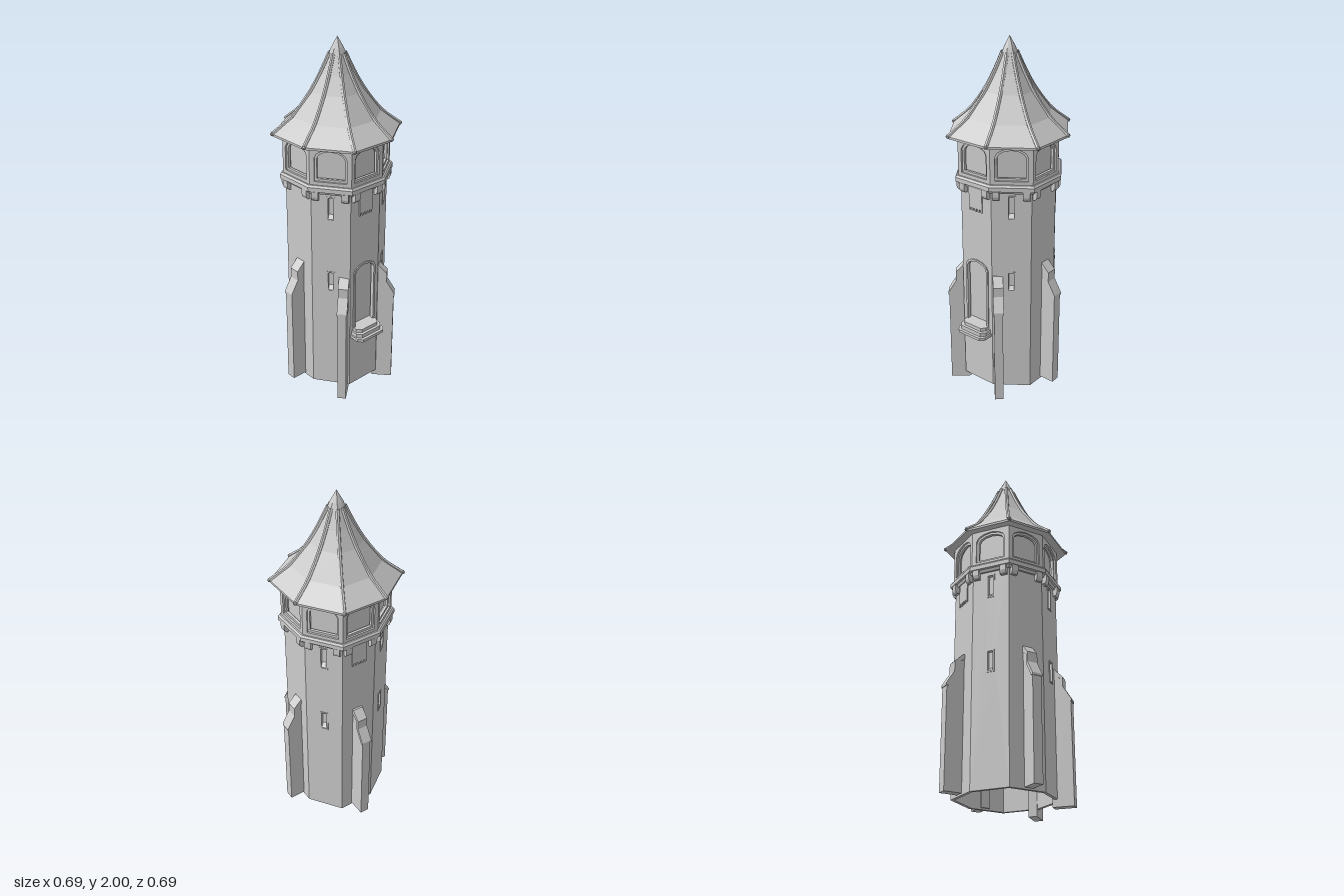
import * as THREE from 'three';

const mat = new THREE.MeshStandardMaterial({ color: 0xcccccc, flatShading: true, side: THREE.DoubleSide });
const APOTHEM = 0.31;

// Slightly twisted octagon: two front corners turned around in quarter steps
const corners = [];
for (let k = 0, p = [[-0.159, 0.31], [0.097, 0.31]]; k < 4; k++, p = p.map(([x, z]) => [z, -x])) corners.push(...p);
const corner = (i, r) => corners[i % 8].map(v => v * r / APOTHEM);

function add(parent, name, geometry, x = 0, y = 0, z = 0) {
  const mesh = new THREE.Mesh(geometry, mat);
  mesh.name = name;
  mesh.position.set(x, y, z);
  parent.add(mesh);
  return mesh;
}

// Skin through octagon rings given as [apothem, height]
function loft(profile) {
  const pos = [];
  for (let j = 0; j + 1 < profile.length; j++) {
    const [r0, y0] = profile[j], [r1, y1] = profile[j + 1];
    for (let i = 0; i < 8; i++) {
      const at = (k, r, y) => { const [x, z] = corner(k, r); return [x, y, z]; };
      const a = at(i, r0, y0), b = at(i + 1, r0, y0), c = at(i + 1, r1, y1), d = at(i, r1, y1);
      if (r0 > 0) pos.push(...a, ...b, ...c);
      if (r1 > 0) pos.push(...a, ...c, ...d);
    }
  }
  const g = new THREE.BufferGeometry();
  g.setAttribute('position', new THREE.Float32BufferAttribute(pos, 3));
  g.computeVertexNormals();
  return g;
}

// Group lying on face i of the octagon, with local +z pointing outward
function faceGroup(parent, i, r, name) {
  const [ax, az] = corner(i, r), [bx, bz] = corner(i + 1, r);
  const g = new THREE.Group();
  g.name = name;
  g.position.set((ax + bx) / 2, 0, (az + bz) / 2);
  g.rotation.y = Math.atan2(az - bz, bx - ax);
  g.userData.width = Math.hypot(bx - ax, bz - az);
  parent.add(g);
  return g;
}

const polygon = pts => new THREE.Shape(pts.map(p => new THREE.Vector2(...p)));
const rect = (w, y0, y1) => polygon([[-w / 2, y0], [w / 2, y0], [w / 2, y1], [-w / 2, y1]]);
function arch(w, y0, spring, top) {
  const h = w / 2, d = top - spring;
  return polygon([[-h, y0], [h, y0], [h, spring], [h * 0.85, spring + d * 0.5], [h * 0.5, spring + d * 0.85], [0, top],
    [-h * 0.5, spring + d * 0.85], [-h * 0.85, spring + d * 0.5], [-h, spring]]);
}
// Plate with holes, its outer side at z = front
function plate(shape, holes, depth, front = 0) {
  shape.holes.push(...holes);
  const g = new THREE.ExtrudeGeometry(shape, { depth, bevelEnabled: false });
  return g.translate(0, 0, front - depth);
}
// Side profile (outward, height) swept across a width
const swept = (pts, width) => new THREE.ExtrudeGeometry(polygon(pts), { depth: width, bevelEnabled: false }).translate(0, 0, -width / 2);

function addDoor(face) {
  add(face, 'doorFrame', plate(arch(0.158, 0.4, 0.765, 0.812), [arch(0.134, 0.41, 0.76, 0.8)], 0.022, 0.006));
  add(face, 'doorPanel', plate(arch(0.158, 0.4, 0.765, 0.812), [], 0.006, -0.028));
  // Stepped sill with chamfered corners
  [[0.098, 0.082, 0.36, 0.377], [0.09, 0.066, 0.377, 0.4], [0.08, 0.05, 0.4, 0.42]].forEach(([h, d, y0, y1]) => {
    const s = polygon([[-h, 0.03], [-h, -d + 0.025], [-h + 0.022, -d], [h - 0.022, -d], [h, -d + 0.025], [h, 0.03]]);
    const g = new THREE.ExtrudeGeometry(s, { depth: y1 - y0, bevelEnabled: false }).rotateX(-Math.PI / 2);
    add(face, 'doorStep', g, 0, y0);
  });
}

function addSlit(face, y0, y1) {
  add(face, 'slitFrame', plate(rect(0.046, y0, y1), [rect(0.03, y0 + 0.008, y1 - 0.008)], 0.02, 0.003));
  add(face, 'slitBack', plate(rect(0.046, y0, y1), [], 0.005, -0.022));
  const sill = swept([[-0.022, y0], [0, y0], [0, y0 + 0.01], [-0.022, y0 + 0.03]], 0.03).rotateY(-Math.PI / 2);
  add(face, 'slitSill', sill);
}

function addHanging(face) {
  const pts = [[0.045, 1.25], [-0.045, 1.25]], n = 9, w = 0.09 / n;
  for (let i = 0; i < n; i++) {
    const y = i % 2 ? 1.118 : 1.103;
    pts.push([-0.045 + i * w, y], [-0.045 + (i + 1) * w, y]);
  }
  add(face, 'toothedPanel', plate(polygon(pts), [], 0.01, 0.006));
}

function addButtress(parent, x, z, angle, width, drop) {
  const g = new THREE.Group();
  g.name = 'buttress';
  g.position.set(x, -drop, z);
  g.rotation.y = -angle;
  parent.add(g);
  add(g, 'buttressBody', swept([[-0.115, 0.05], [0, 0.05], [0, 0.615], [-0.045, 0.69], [-0.045, 0.745], [-0.09, 0.788], [-0.115, 0.788]], width));
  add(g, 'buttressCoping', swept([[0.004, 0.605], [0.004, 0.618], [-0.041, 0.693], [-0.041, 0.748], [-0.088, 0.796], [-0.115, 0.796],
    [-0.115, 0.78], [-0.055, 0.74], [-0.055, 0.685], [-0.008, 0.605]], width + 0.008));
}

export function createModel() {
  const model = new THREE.Group();
  model.name = 'tower';
  const core = new THREE.Group();
  core.name = 'octagonalTower';
  core.position.z = 0.01;
  model.add(core);

  for (let i = 0; i < 8; i++) {
    // Shaft wall with door, slits and toothed panels
    const shaft = faceGroup(core, i, 0.252, 'shaftFace');
    const holes = [];
    if (i === 0) {
      holes.push(arch(0.156, 0.405, 0.765, 0.81));
      addDoor(shaft);
    }
    if (i % 4 === 0) addHanging(shaft);
    if (i % 2) [[0.65, 0.775], [1.08, 1.22]].forEach(([a, b]) => {
      holes.push(rect(0.044, a + 0.001, b - 0.001));
      addSlit(shaft, a, b);
    });
    add(shaft, 'shaftWall', plate(rect(shaft.userData.width, 0.04, 1.26), holes, 0.018));

    // Pair of corbels near the corners
    for (const s of [-1, 1]) {
      const profile = [[-0.005, 1.198], [0.012, 1.198], [0.021, 1.205], [0.026, 1.22], [0.026, 1.25], [-0.005, 1.25]];
      add(shaft, 'corbel', swept(profile, 0.036).rotateY(-Math.PI / 2), s * (shaft.userData.width / 2 - 0.026));
    }

    // Gallery wall with an arched niche
    const gallery = faceGroup(core, i, 0.264, 'galleryFace');
    add(gallery, 'galleryWall', plate(rect(gallery.userData.width, 1.275, 1.505), [arch(0.172, 1.305, 1.435, 1.482)], 0.035));
    add(gallery, 'galleryWindowFrame', plate(arch(0.174, 1.304, 1.435, 1.483), [arch(0.148, 1.318, 1.43, 1.469)], 0.015, -0.01));
  }

  // Ledge, gallery core and roof
  add(core, 'ledge', loft([[0, 1.235], [0.262, 1.235], [0.268, 1.25], [0.28, 1.252], [0.28, 1.275], [0.272, 1.286], [0.25, 1.286]]));
  add(core, 'galleryCore', loft([[0.229, 1.27], [0.229, 1.505]]));
  const roof = [[0.31, 1.505], [0.215, 1.59], [0.126, 1.72], [0.078, 1.815], [0.036, 1.915]];
  add(core, 'roof', loft([[0, 1.497], [0.26, 1.497], [0.31, 1.493], ...roof]));
  add(core, 'roofCap', loft([[0, 1.9], [0.043, 1.905], [0.03, 1.94], [0, 2]]));

  // Ridge ribs following the roof corners
  for (let i = 0; i < 8; i++) {
    const path = new THREE.CurvePath();
    const pts = roof.map(([r, y]) => { const [x, z] = corner(i, r); return new THREE.Vector3(x, y, z); });
    const curve = new THREE.CatmullRomCurve3(pts);
    add(core, 'roofRib', new THREE.TubeGeometry(curve, 10, 0.011, 6));
    add(core, 'ribEnd', new THREE.IcosahedronGeometry(0.0125, 0), pts[0].x, pts[0].y, pts[0].z);
  }

  // Buttresses: sides and back, then the two lower ones at the front
  addButtress(model, 0.34, 0.016, 0, 0.052, 0);
  addButtress(model, -0.34, -0.008, Math.PI, 0.052, 0);
  addButtress(model, 0.033, -0.341, -Math.PI / 2, 0.052, 0);
  addButtress(model, 0.164, 0.309, 0.84, 0.048, 0.05);
  addButtress(model, -0.214, 0.29, Math.PI - 0.7, 0.048, 0.05);
  return model;
}
